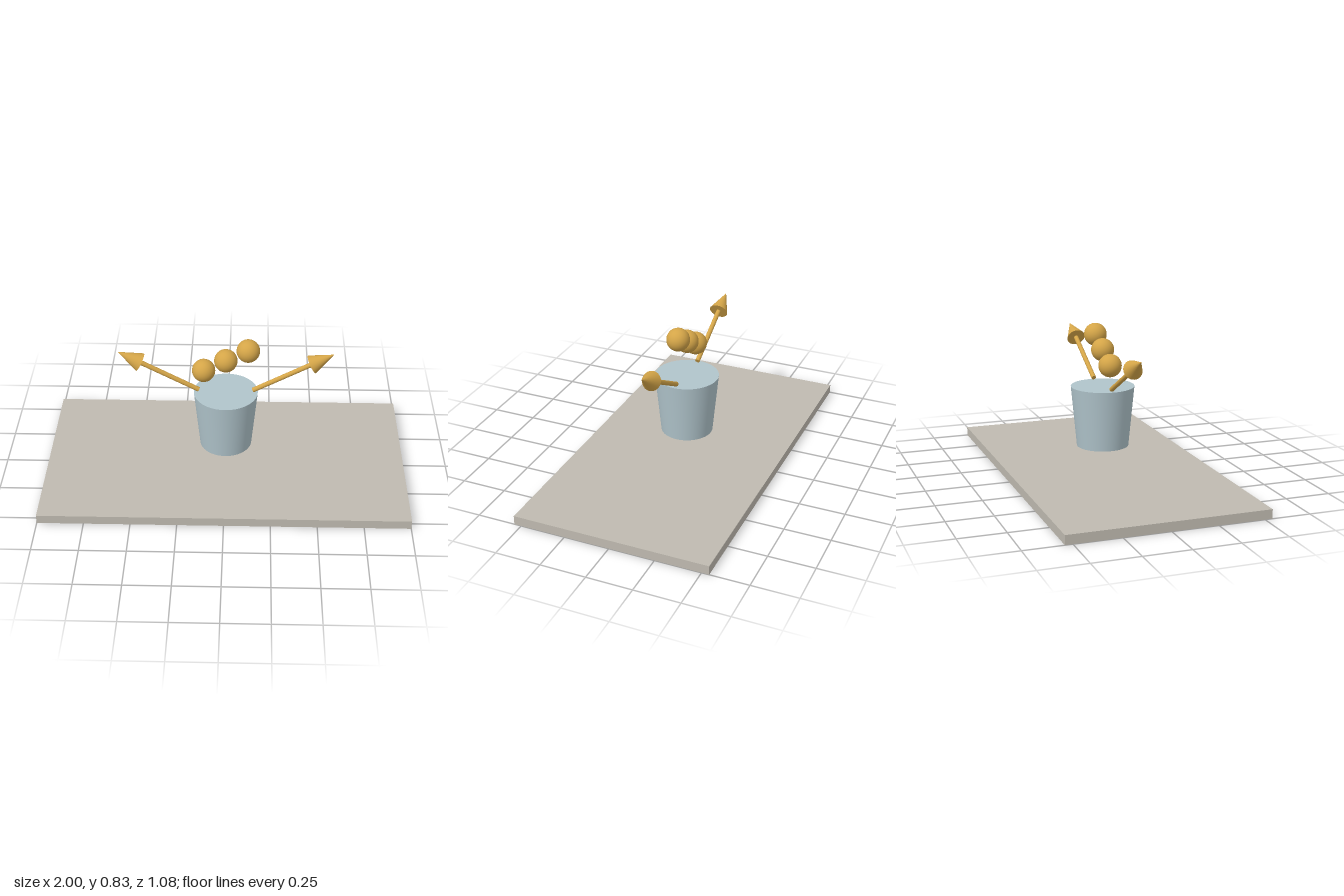
import * as THREE from 'three';

const material = (name, color) => {
  const m = new THREE.MeshStandardMaterial({ color });
  m.name = name;
  return m;
};

export function createModel() {
  const stone = material('warm grey', 0xbfbab0);
  const paleBlue = material('pale blue', 0xb0c4cb);
  const gold = material('gold', 0xd4a548);

  const model = new THREE.Group();
  model.name = 'model';
  const add = (parent, name, geometry, mat, x, y, z = 0) => {
    const mesh = new THREE.Mesh(geometry, mat);
    mesh.name = name;
    mesh.position.set(x, y, z);
    parent.add(mesh);
    return mesh;
  };

  // Flat slab on the ground
  add(model, 'basePlate', new THREE.BoxGeometry(2, 0.05, 1.08), stone, 0, 0.025);

  // Closed tapered cup floating above the slab
  const cupBottom = 0.162, cupTop = 0.498;
  add(model, 'cup', new THREE.CylinderGeometry(0.175, 0.143, cupTop - cupBottom, 64),
    paleBlue, 0, (cupBottom + cupTop) / 2);

  // Rising row of three balls
  const ballGeometry = new THREE.SphereGeometry(0.063, 40, 24);
  for (const i of [-1, 0, 1]) {
    add(model, 'ball', ballGeometry, gold, i * 0.12, 0.699 + i * 0.064);
  }

  // Mirrored arrows pointing outward from the rim
  const headLength = 0.133;
  for (const [side, name] of [[1, 'leftArrow'], [-1, 'rightArrow']]) {
    const start = new THREE.Vector3(side * 0.148, 0.51, 0);
    const tip = new THREE.Vector3(side * 0.579, 0.747, 0);
    const direction = tip.clone().sub(start);
    const shaftLength = direction.length() - headLength;

    const arrow = new THREE.Group();
    arrow.name = name;
    arrow.position.copy(start);
    arrow.quaternion.setFromUnitVectors(new THREE.Vector3(0, 1, 0), direction.normalize());
    add(arrow, 'shaft', new THREE.CylinderGeometry(0.013, 0.013, shaftLength, 24),
      gold, 0, shaftLength / 2);
    add(arrow, 'head', new THREE.ConeGeometry(0.052, headLength, 32),
      gold, 0, shaftLength + headLength / 2);
    model.add(arrow);
  }

  return model;
}
